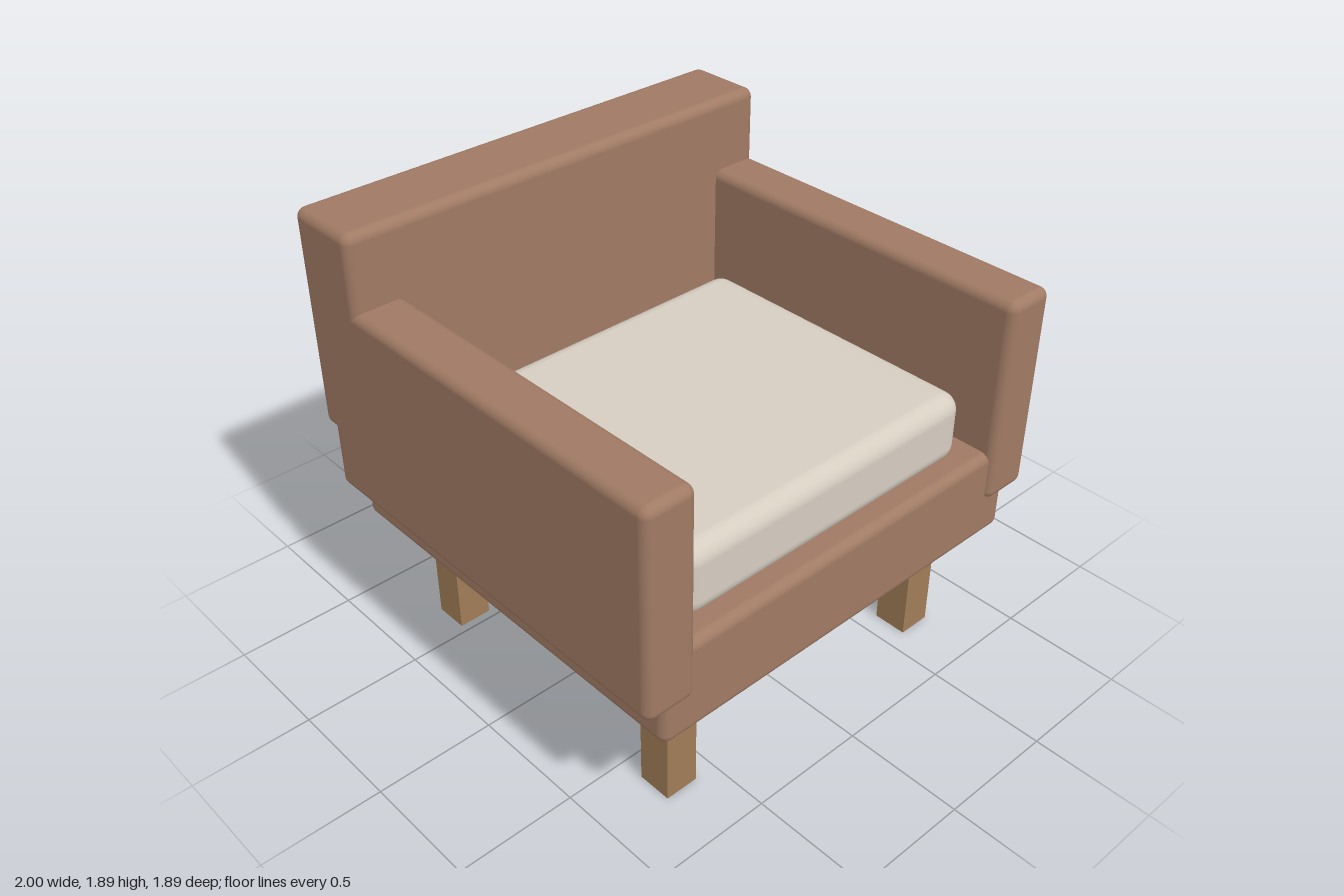
import * as THREE from 'three';
import { RoundedBoxGeometry } from 'three/addons/geometries/RoundedBoxGeometry.js';

const upholstery = new THREE.MeshStandardMaterial({ color: 0xa07a64 });
const fabric = new THREE.MeshStandardMaterial({ color: 0xd6cdc1 });
const wood = new THREE.MeshStandardMaterial({ color: 0xa07d58 });

// Box given by its extents; a radius rounds its edges
function block(name, [x0, x1], [y0, y1], [z0, z1], material, radius = 0) {
  const size = [x1 - x0, y1 - y0, z1 - z0];
  const geometry = radius
    ? new RoundedBoxGeometry(...size, 4, radius)
    : new THREE.BoxGeometry(...size);
  const mesh = new THREE.Mesh(geometry, material);
  mesh.name = name;
  mesh.position.set((x0 + x1) / 2, (y0 + y1) / 2, (z0 + z1) / 2);
  return mesh;
}

export function createModel() {
  const chair = new THREE.Group();
  chair.name = 'armchair';

  // Seat base, backrest and loose cushion
  chair.add(
    block('seatBase', [-0.91, 0.91], [0.515, 0.913], [-0.863, 0.923], upholstery, 0.04),
    block('backrest', [-1, 1], [0.96, 1.89], [-0.945, -0.605], upholstery, 0.04),
    block('seatCushion', [-0.72, 0.72], [0.88, 1.18], [-0.5, 0.823], fabric, 0.075)
  );

  // Arms and legs, mirrored left and right
  for (const [side, s] of [['left', 1], ['right', -1]]) {
    const span = (a, b) => (s > 0 ? [a, b] : [-b, -a]);
    chair.add(block(side + 'Arm', span(0.78, 1), [0.695, 1.58], [-0.885, 0.945], upholstery, 0.04));
    for (const [end, z] of [['Front', 0.675], ['Back', -0.61]]) {
      chair.add(block(side + end + 'Leg', span(0.595, 0.738), [0, 0.49], [z - 0.073, z + 0.073], wood));
    }
  }
  return chair;
}
